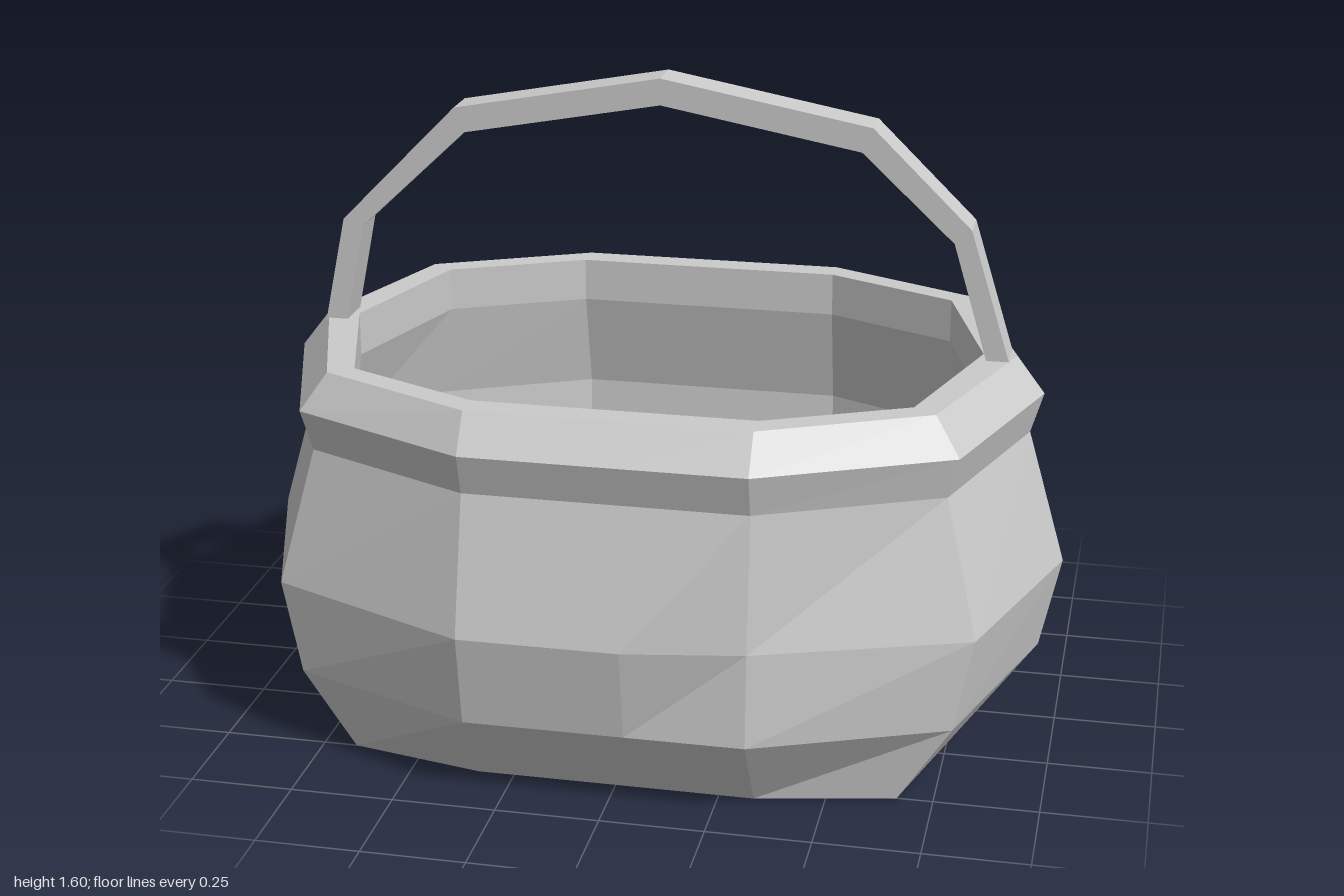
import * as THREE from 'three';

const material = new THREE.MeshStandardMaterial({ color: 0xcccccc, flatShading: true });

// Ten-sided ring plus one extra front column; a, b, c are the side, diagonal and front corners
function ring([y, ax, bx, bz, cx, cz, dentFront = 0, dentBack = 0]) {
  return [
    [ax, 0], [bx, -bz], [cx, -cz + dentBack], [-cx, -cz], [-bx, -bz],
    [-ax, 0], [-bx, bz], [-cx, cz], [0.05, cz], [cx, cz - dentFront], [bx, bz],
  ].map(([x, z]) => new THREE.Vector3(x, y, z));
}

// Skin between consecutive rings, flat shaded
function loft(rings) {
  const pts = [];
  for (let i = 0; i < rings.length - 1; i++) {
    const lo = rings[i], hi = rings[i + 1], n = lo.length;
    for (let j = 0; j < n; j++) {
      const k = (j + 1) % n;
      pts.push(lo[j], lo[k], hi[k], lo[j], hi[k], hi[j]);
    }
  }
  const geometry = new THREE.BufferGeometry().setFromPoints(pts);
  geometry.computeVertexNormals();
  return geometry;
}

function addMesh(group, name, geometry) {
  const mesh = new THREE.Mesh(geometry, material);
  mesh.name = name;
  group.add(mesh);
}

export function createModel() {
  const group = new THREE.Group();
  group.name = 'basket';

  // Bulging outer wall with its closed underside
  const neck = [0.76, 0.905, 0.755, 0.47, 0.335, 0.67];
  addMesh(group, 'outerWall', loft([
    [0, 0, 0, 0, 0, 0],
    [0.005, 0.795, 0.665, 0.51, 0.335, 0.58],
    [0.2, 0.95, 0.79, 0.52, 0.335, 0.71],
    [0.43, 1, 0.835, 0.52, 0.335, 0.75, 0.05, 0.04],
    neck,
  ].map(ring).map((r, i) => {
    if (i === 0) r.forEach((p) => p.set(0, 0, 0));
    return r;
  })));

  // Flared rim
  const lip = [0.95, 0.785, 0.665, 0.41, 0.335, 0.57];
  addMesh(group, 'rim', loft([
    neck,
    [0.86, 0.935, 0.78, 0.485, 0.335, 0.7],
    [0.95, 0.865, 0.72, 0.45, 0.335, 0.64],
    lip,
  ].map(ring)));

  // Hollow inside, down to the floor
  const floor = ring([0.1, 0.74, 0.61, 0.4, 0.31, 0.53]);
  const centre = floor.map(() => new THREE.Vector3(0, 0.1, 0));
  addMesh(group, 'innerWall', loft([
    ...[lip,
      [0.84, 0.785, 0.665, 0.41, 0.335, 0.57],
      [0.59, 0.87, 0.72, 0.44, 0.335, 0.63],
      [0.35, 0.85, 0.7, 0.44, 0.335, 0.62]].map(ring),
    floor, centre,
  ]));

  // Angular carrying handle arching from side to side
  const outer = [[-0.865, 0.9], [-0.8, 1.21], [-0.51, 1.505], [0, 1.6], [0.51, 1.505], [0.75, 1.27], [0.865, 0.9]];
  const inner = [[0.81, 0.9], [0.71, 1.235], [0.485, 1.445], [0, 1.535], [-0.485, 1.445], [-0.75, 1.195], [-0.81, 0.9]];
  const arch = new THREE.Shape([...outer, ...inner].map(([x, y]) => new THREE.Vector2(x, y)));
  const handle = new THREE.ExtrudeGeometry(arch, { depth: 0.1, bevelEnabled: false });
  handle.translate(0, 0, -0.05);
  addMesh(group, 'handle', handle);

  return group;
}
